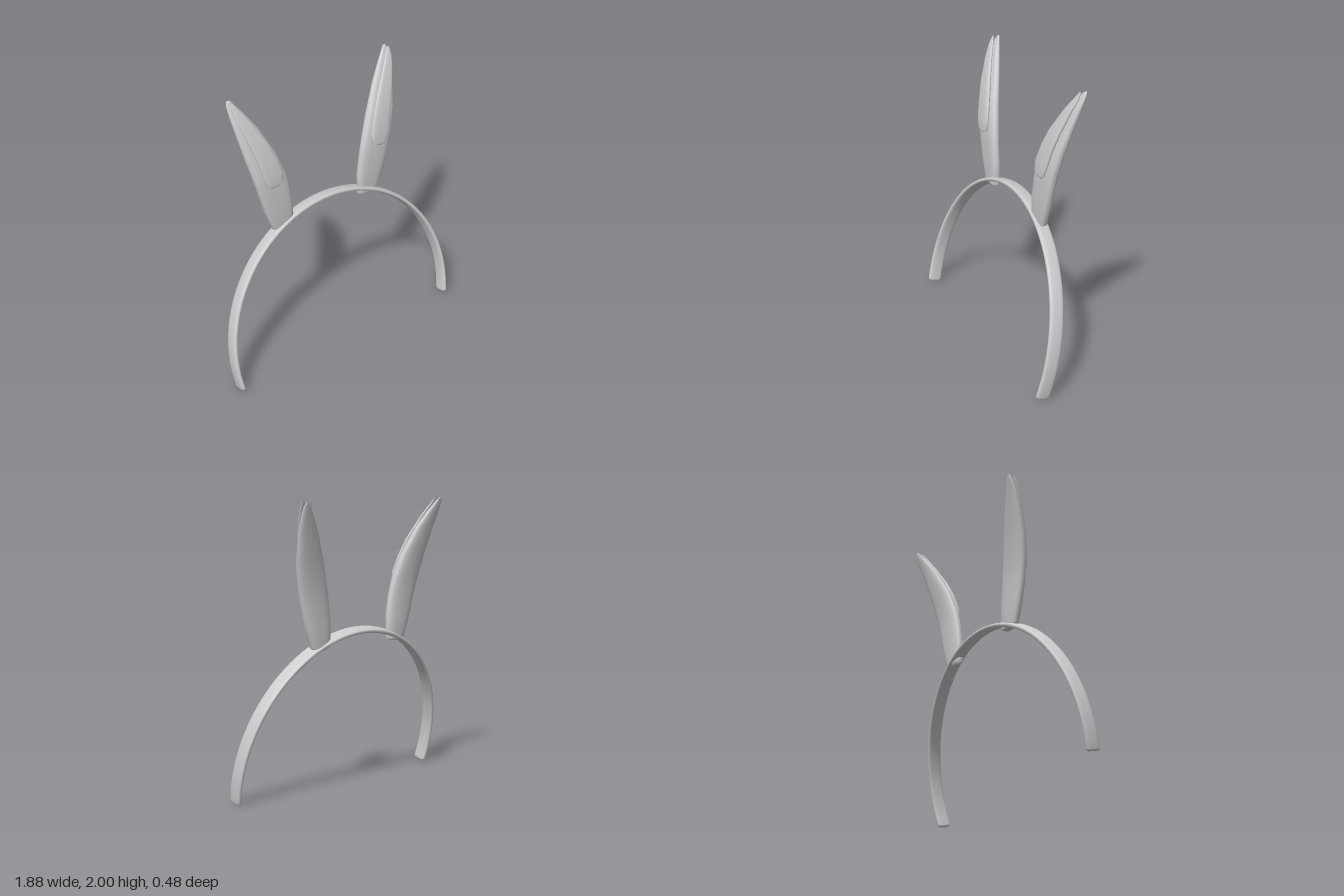
import * as THREE from 'three';

const fabric = new THREE.MeshStandardMaterial({ color: 0xcccccc });
fabric.name = 'pale grey';

// Joins closed rings of points (counter-clockwise about the path) and caps both ends
function loft(name, rings) {
  const n = rings[0].length, pos = [], idx = [];
  rings.forEach(r => r.forEach(p => pos.push(p.x, p.y, p.z)));
  for (let i = 0; i < rings.length - 1; i++) {
    for (let j = 0; j < n; j++) {
      const a = i * n + j, b = i * n + (j + 1) % n;
      idx.push(a, b, a + n, b, b + n, a + n);
    }
  }
  [0, rings.length - 1].forEach((k, end) => {
    const c = new THREE.Vector3();
    rings[k].forEach(p => c.addScaledVector(p, 1 / n));
    const centre = pos.length / 3;
    pos.push(c.x, c.y, c.z);
    for (let j = 0; j < n; j++) {
      const a = k * n + j, b = k * n + (j + 1) % n;
      if (end) idx.push(centre, a, b); else idx.push(centre, b, a);
    }
  });
  const g = new THREE.BufferGeometry();
  g.setAttribute('position', new THREE.Float32BufferAttribute(pos, 3));
  g.setIndex(idx);
  g.computeVertexNormals();
  const mesh = new THREE.Mesh(g, fabric);
  mesh.name = name;
  return mesh;
}

// Rounded-box curve: unit point at angle a, squarer for a larger exponent
function superPoint(a, e) {
  const f = v => Math.sign(v) * Math.abs(v) ** (2 / e);
  return [f(Math.cos(a)), f(Math.sin(a))];
}

// Horizontal section from a row [y, inner x, outer x, front z, back z]
function leafRing([y, x0, x1, zf, zb], side) {
  const ring = [], n = 24;
  for (let j = 0; j < n; j++) {
    const a = j / n * Math.PI * 2;
    const [u, v] = superPoint(a, Math.sin(a) < 0 ? 3.2 : 2.3);
    ring.push(new THREE.Vector3(side * (x0 + x1) / 2 + u * (x1 - x0) / 2, y, (zf + zb) / 2 - v * (zf - zb) / 2));
  }
  return ring;
}

const earRows = [
  [1.0, 0.32, 0.425, -0.035, -0.075],
  [1.02, 0.277, 0.448, -0.02, -0.09],
  [1.18, 0.28, 0.505, -0.02, -0.095],
  [1.32, 0.3, 0.542, -0.022, -0.1],
  [1.44, 0.327, 0.572, -0.03, -0.112],
  [1.6, 0.382, 0.61, -0.06, -0.138],
  [1.79, 0.477, 0.642, -0.125, -0.182],
  [1.9, 0.55, 0.656, -0.172, -0.212],
  [1.97, 0.602, 0.658, -0.208, -0.231],
  [1.998, 0.625, 0.647, -0.23, -0.237],
];

const innerRows = [
  [1.382, 0.42, 0.475, -0.002, -0.018],
  [1.4, 0.375, 0.5, 0, -0.024],
  [1.48, 0.372, 0.527, -0.006, -0.04],
  [1.6, 0.408, 0.553, -0.03, -0.066],
  [1.71, 0.455, 0.585, -0.06, -0.094],
  [1.87, 0.545, 0.629, -0.12, -0.146],
  [1.95, 0.597, 0.648, -0.16, -0.178],
  [2.0, 0.63, 0.646, -0.188, -0.193],
];

// Tilted arch with a flat rounded section and softened ends
function headband() {
  const rings = [], steps = 64, n = 20, over = 0.168;
  const ringAt = (t, k) => {
    const c = new THREE.Vector3(0.924 * Math.cos(t), 0.16 + 0.954 * Math.sin(t), 0);
    const out = new THREE.Vector3(0.954 * Math.cos(t), 0.924 * Math.sin(t), 0).normalize();
    const ring = [];
    for (let j = 0; j < n; j++) {
      const [u, v] = superPoint(j / n * Math.PI * 2, 3.2);
      ring.push(c.clone().addScaledVector(out, u * 0.016 * k).add(new THREE.Vector3(0, 0, -v * 0.05 * k)));
    }
    return ring;
  };
  const a = -over, b = Math.PI + over;
  rings.push(ringAt(a - 0.016, 0.7), ringAt(a - 0.01, 0.9));
  for (let i = 0; i <= steps; i++) rings.push(ringAt(a + (b - a) * i / steps, 1));
  rings.push(ringAt(b + 0.01, 0.9), ringAt(b + 0.016, 0.7));
  const mesh = loft('headband', rings);
  mesh.rotation.x = -0.2356;
  mesh.position.set(0, 0.022, 0.19);
  return mesh;
}

export function createModel() {
  const model = new THREE.Group();
  model.name = 'earedHeadband';
  model.add(headband());
  // Mirrored pair of ears, each with a raised inner panel
  for (const [side, label] of [[1, 'left'], [-1, 'right']]) {
    const ear = new THREE.Group();
    ear.name = label + 'Ear';
    ear.add(loft(label + 'OuterEar', earRows.map(r => leafRing(r, side))));
    ear.add(loft(label + 'InnerEar', innerRows.map(r => leafRing(r, side))));
    model.add(ear);
  }
  return model;
}
